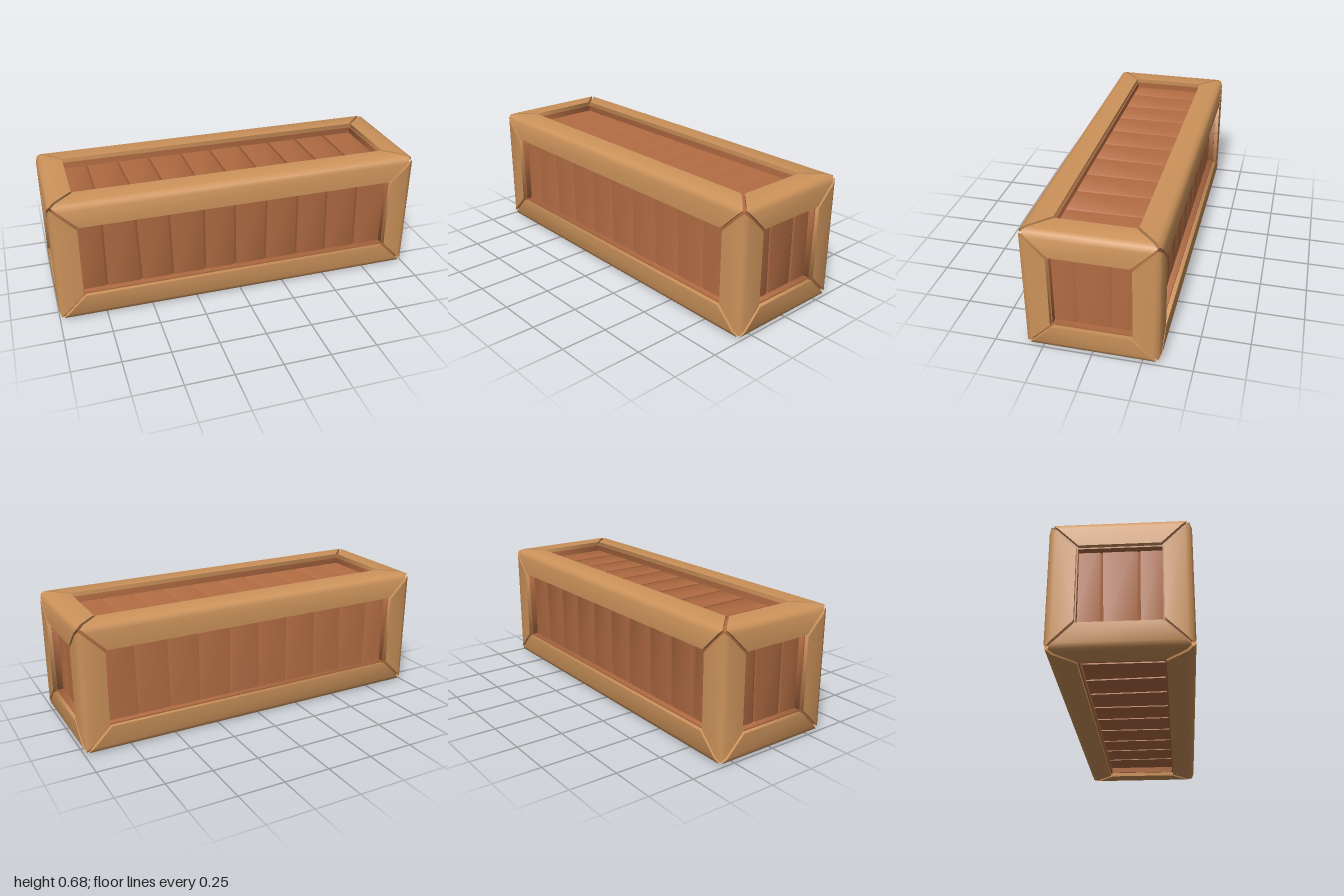
import * as THREE from 'three';
import { toCreasedNormals } from 'three/addons/utils/BufferGeometryUtils.js';

const HALF = [1, 0.34, 0.34]; // half sizes of the crate along x, y, z

// Solid between two matching loops; each cap is a list of convex index loops.
function prism(lo, hi, caps, flip) {
  const pos = [];
  const tri = (a, b, c) => pos.push(...a, ...(flip ? c : b), ...(flip ? b : c));
  lo.forEach((p, i) => {
    const j = (i + 1) % lo.length;
    tri(p, lo[j], hi[j]);
    tri(p, hi[j], hi[i]);
  });
  for (const cap of caps) {
    for (let k = 1; k < cap.length - 1; k++) {
      tri(hi[cap[0]], hi[cap[k]], hi[cap[k + 1]]);
      tri(lo[cap[0]], lo[cap[k + 1]], lo[cap[k]]);
    }
  }
  const geo = new THREE.BufferGeometry();
  geo.setAttribute('position', new THREE.Float32BufferAttribute(pos, 3));
  return toCreasedNormals(geo, 0.8);
}

// L-shaped mitred beam along one crate edge. Profile points are insets from the two outer faces.
function beam(axis, sb, sc, profile, gap) {
  const b = (axis + 1) % 3, c = (axis + 2) % 3;
  const loop = (s) => profile.map(([u, v]) => {
    const p = [0, 0, 0];
    p[axis] = s * (HALF[axis] - Math.max(u, v) - gap);
    p[b] = sb * (HALF[b] - u);
    p[c] = sc * (HALF[c] - v);
    return p;
  });
  return prism(loop(-1), loop(1), [[2, 6, 7, 0, 1], [2, 3, 4, 5, 6]], sb * sc > 0);
}

// Symmetric profile: w = face width, e = start of edge rounding, m = corner, s = sink, d = inner depth
const beamProfile = (w, e, m, s, d) =>
  [[w, s], [e, s], [m, m], [s, e], [s, w], [d, w], [d, d], [w, d]];

// Row of planks facing +z; seams are [x, lean], each plank slopes down at its right edge.
function plankPanel(name, seams, halfHeight, bevel, material) {
  const panel = new THREE.Group();
  panel.name = name;
  for (let i = 0; i < seams.length - 1; i++) {
    const loop = (s) => {
      const x0 = seams[i][0] - s * seams[i][1];
      const x1 = seams[i + 1][0] - s * seams[i + 1][1];
      return [[x0, 0], [x1 - bevel, 0], [x1, -0.012], [x1, -0.035], [x0, -0.035]]
        .map(([x, z]) => [x, s * halfHeight, z]);
    };
    const plank = new THREE.Mesh(prism(loop(-1), loop(1), [[0, 1, 2, 3, 4]], false), material);
    plank.name = 'plank';
    panel.add(plank);
  }
  return panel;
}

export function createModel() {
  const model = new THREE.Group();
  model.name = 'woodenCrate';
  const lightWood = new THREE.MeshStandardMaterial({ color: 0xcd935b });
  lightWood.name = 'lightWood';
  const redWood = new THREE.MeshStandardMaterial({ color: 0xb26c43 });
  redWood.name = 'redWood';

  const body = new THREE.Group();
  body.name = 'crateBody';
  body.position.y = HALF[1];
  model.add(body);

  // Twelve edge beams, with a red lining showing in the mitre grooves and round the openings
  const outer = beamProfile(0.135, 0.035, 0.011, 0, 0.05);
  const lining = beamProfile(0.142, 0.03, 0.024, 0.022, 0.08);
  for (let axis = 0; axis < 3; axis++) {
    for (const sb of [-1, 1]) {
      for (const sc of [-1, 1]) {
        const frame = new THREE.Mesh(beam(axis, sb, sc, outer, 0.011), lightWood);
        frame.name = 'frameBeam';
        const inner = new THREE.Mesh(beam(axis, sb, sc, lining, 0), redWood);
        inner.name = 'frameLining';
        body.add(frame, inner);
      }
    }
  }

  // Recessed plank panels on all six sides
  const longSeams = [[-0.9, 0], [-0.73, 0], [-0.55, 0.008], [-0.375, 0.006], [-0.19, 0.002],
    [-0.017, 0.004], [0.16, 0], [0.342, 0.003], [0.515, 0.005], [0.695, 0.005], [0.9, 0]];
  const endSeams = [[-0.22, 0], [-0.08, 0.005], [0.094, 0], [0.22, 0]];
  const recess = 0.055;
  ['frontPanel', 'topPanel', 'backPanel', 'bottomPanel'].forEach((name, i) => {
    const panel = plankPanel(name, longSeams, 0.22, 0.014, redWood);
    panel.rotation.x = -i * Math.PI / 2;
    panel.position.set(0, 0, HALF[2] - recess).applyEuler(panel.rotation);
    body.add(panel);
  });
  for (const [name, s] of [['leftPanel', 1], ['rightPanel', -1]]) {
    const panel = plankPanel(name, endSeams, 0.22, 0.018, redWood);
    panel.rotation.y = s * Math.PI / 2;
    panel.position.x = s * (HALF[0] - recess);
    body.add(panel);
  }
  return model;
}
